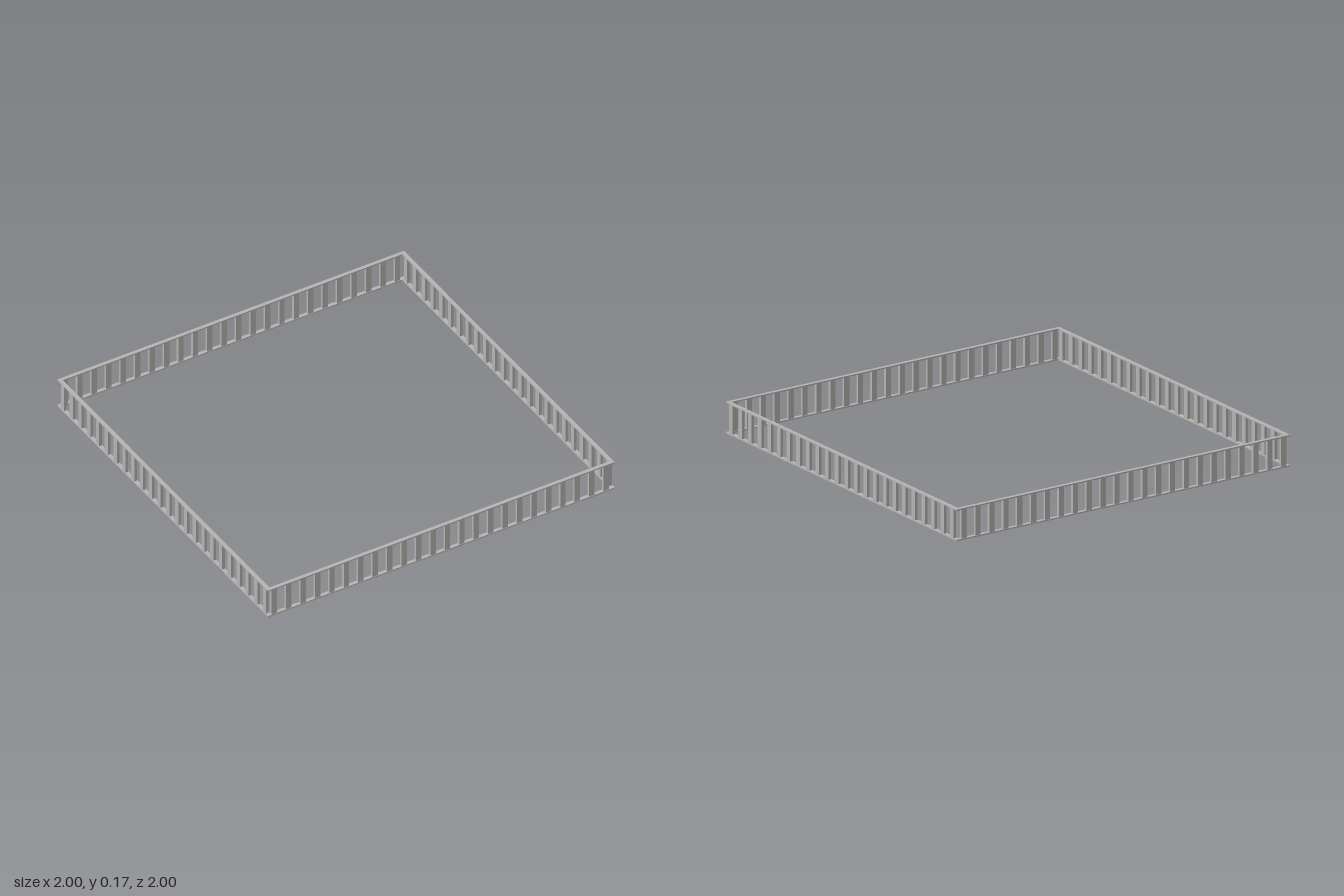
import * as THREE from 'three';

const HEIGHT = 0.165, RAIL_H = 0.007, RAIL_D = 0.02;
const COUNT = 24, STEP = 0.0833, POST_W = 0.031, POST_D = 0.015;

export function createModel() {
  const stone = new THREE.MeshStandardMaterial({ color: 0xb4b4b2 });
  stone.name = 'light grey';
  const model = new THREE.Group();
  model.name = 'squareRailing';

  const box = (parent, name, size, pos) => {
    const mesh = new THREE.Mesh(new THREE.BoxGeometry(...size), stone);
    mesh.name = name;
    mesh.position.set(...pos);
    parent.add(mesh);
  };

  // One run of railing along x: two thin rails with flat balusters between
  const makeRun = (name, length, start) => {
    const run = new THREE.Group();
    run.name = name;
    box(run, 'bottomRail', [length, RAIL_H, RAIL_D], [0, RAIL_H / 2, 0]);
    box(run, 'topRail', [length, RAIL_H, RAIL_D], [0, HEIGHT - RAIL_H / 2, 0]);
    for (let i = 0; i < COUNT; i++) {
      box(run, 'baluster', [POST_W, HEIGHT - 2 * RAIL_H, POST_D], [start + i * STEP, HEIGHT / 2, 0]);
    }
    model.add(run);
    return run;
  };

  const edge = 1 - RAIL_D / 2;
  // Front and back runs span the full width
  makeRun('frontRailing', 2, -0.963).position.z = edge;
  makeRun('backRailing', 2, -0.963).position.z = -edge;

  // Side runs fit between them; turning maps +x to -z
  for (const [name, side] of [['leftRailing', 1], ['rightRailing', -1]]) {
    const run = makeRun(name, 2 - 2 * RAIL_D, -0.961);
    run.rotation.y = Math.PI / 2;
    run.position.x = side * edge;
  }
  return model;
}
